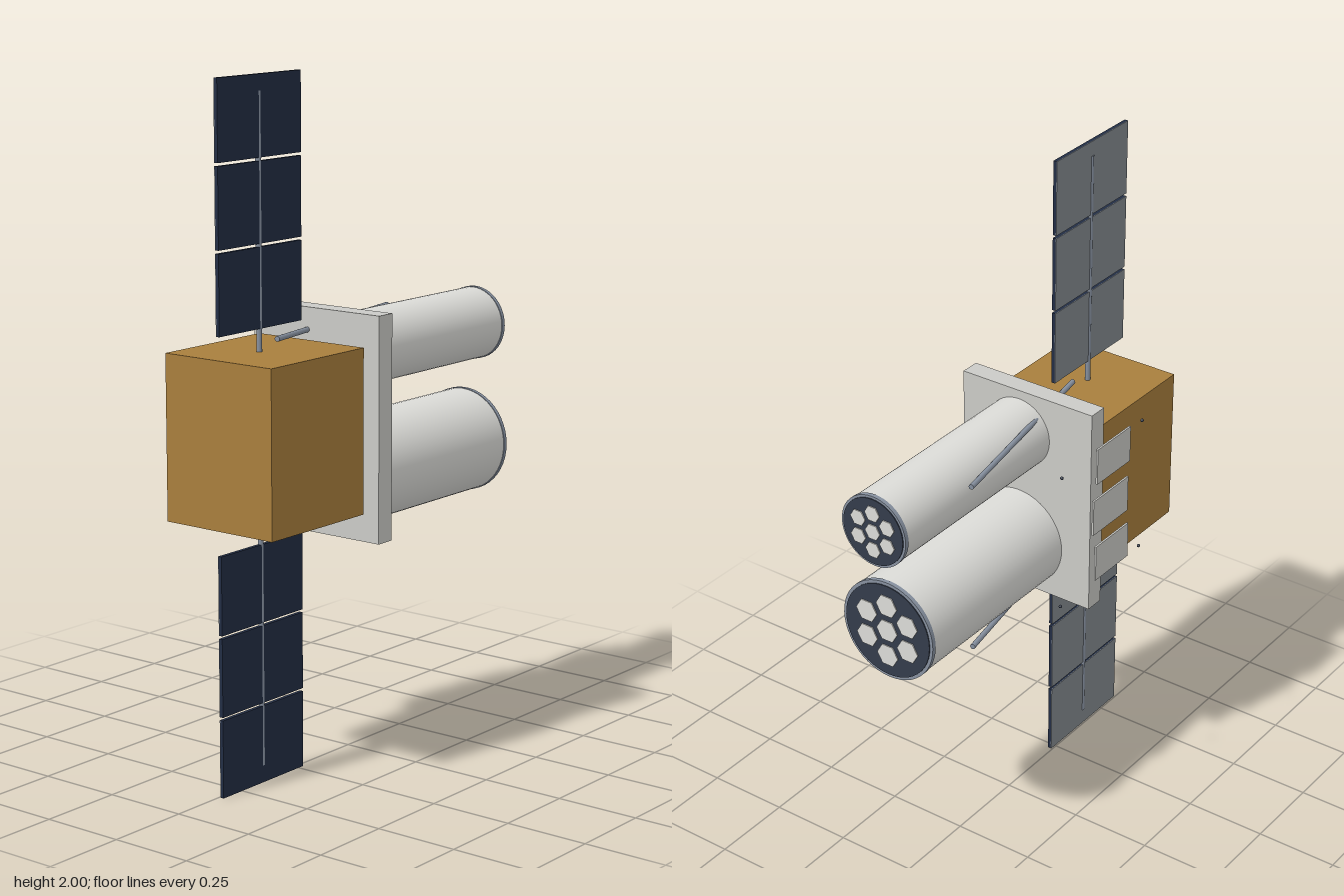
import * as THREE from 'three';

const mat = (name, color) => new THREE.MeshStandardMaterial({ name, color });

export function createModel() {
  const model = new THREE.Group();
  model.name = 'satellite';

  const gold = mat('gold foil', 0xa97f3d);
  const plateGrey = mat('plate grey', 0xcbcbc7);
  const white = mat('tube white', 0xdcdcd8);
  const navy = mat('solar navy', 0x222d44);
  const dark = mat('aperture dark', 0x343c4b);
  const backGrey = mat('panel back grey', 0x83898f);
  const steel = mat('steel', 0x8791a0);

  const add = (parent, name, geometry, material, x, y, z) => {
    const mesh = new THREE.Mesh(geometry, material);
    mesh.name = name;
    mesh.position.set(x, y, z);
    parent.add(mesh);
    return mesh;
  };
  // box given by its limits on each axis
  const box = (parent, name, material, [x0, x1], [y0, y1], [z0, z1]) =>
    add(parent, name, new THREE.BoxGeometry(x1 - x0, y1 - y0, z1 - z0), material,
      (x0 + x1) / 2, (y0 + y1) / 2, (z0 + z1) / 2);
  // cylinder lying along x
  const barrel = (parent, name, material, r, x0, x1, y, z, sides = 48) =>
    add(parent, name, new THREE.CylinderGeometry(r, r, x1 - x0, sides).rotateZ(-Math.PI / 2),
      material, (x0 + x1) / 2, y, z);

  // main body and bulkhead
  box(model, 'body', gold, [-0.58, -0.18], [0.765, 1.24], [-0.18, 0.197]);
  box(model, 'bulkhead', plateGrey, [-0.16, -0.1], [0.68, 1.33], [-0.215, 0.235]);

  // solar wings, three panels above and three below
  const gap = 0.009;
  const length = (0.695 - 2 * gap) / 3;
  for (const side of [1, -1]) {
    const wing = new THREE.Group();
    wing.name = side > 0 ? 'upperWing' : 'lowerWing';
    model.add(wing);
    for (let i = 0; i < 3; i++) {
      const a = 1 + side * (0.305 + i * (length + gap));
      const b = a + side * length;
      const ys = [Math.min(a, b), Math.max(a, b)];
      box(wing, 'solarPanel', navy, [-0.58, -0.23], ys, [0.006, 0.016]);
      box(wing, 'panelBack', backGrey, [-0.58, -0.23], ys, [0.004, 0.006]);
    }
  }
  add(model, 'wingMast', new THREE.CylinderGeometry(0.008, 0.008, 1.905, 16), steel, -0.405, 1.0025, 0.009);

  // telescope tubes with hexagonal mirror clusters
  const tube = (name, r, y, end) => {
    const g = new THREE.Group();
    g.name = name;
    model.add(g);
    const z = 0.038;
    barrel(g, 'tube', white, r, -0.12, end - 0.01, y, z);
    barrel(g, 'rim', steel, r + 0.002, end - 0.016, end - 0.003, y, z);
    barrel(g, 'aperture', dark, r * 0.95, end - 0.005, end, y, z);
    for (let i = 0; i < 7; i++) {
      const a = (i * Math.PI) / 3;
      const d = i < 6 ? r * 0.53 : 0;
      barrel(g, 'mirror', white, r * 0.235, end - 0.001, end + 0.003,
        y + d * Math.cos(a), z + d * Math.sin(a), 6);
    }
  };
  tube('upperTelescope', 0.108, 1.195, 0.573);
  tube('lowerTelescope', 0.155, 0.845, 0.523);

  // slanted poles passing through the bulkhead
  for (const y of [1.265, 0.738]) {
    const from = new THREE.Vector3(-0.33, y, 0.01);
    const to = new THREE.Vector3(0.322, y, -0.107);
    add(model, 'pole', new THREE.TubeGeometry(new THREE.LineCurve3(from, to), 1, 0.008, 12), steel, 0, 0, 0);
    for (const [p, q] of [[from, to], [to, from]]) {
      const cap = add(model, 'poleCap', new THREE.CircleGeometry(0.008, 12), steel, p.x, p.y, p.z);
      cap.lookAt(p.clone().multiplyScalar(2).sub(q));
    }
  }

  // rear radiator plates and small beacons
  [[-0.27, 1.168], [-0.264, 1.004], [-0.27, 0.843]].forEach(([x, y], i) => {
    const w = i === 1 ? 0.176 : 0.166;
    box(model, 'radiator', plateGrey, [x, x + w], [y - 0.057, y + 0.057], [-0.235, -0.229]);
  });
  for (const x of [-0.33, 0.072])
    for (const y of [1.217, 0.79])
      add(model, 'beacon', new THREE.SphereGeometry(0.005, 10, 8), dark, x, y, -0.234);

  return model;
}
